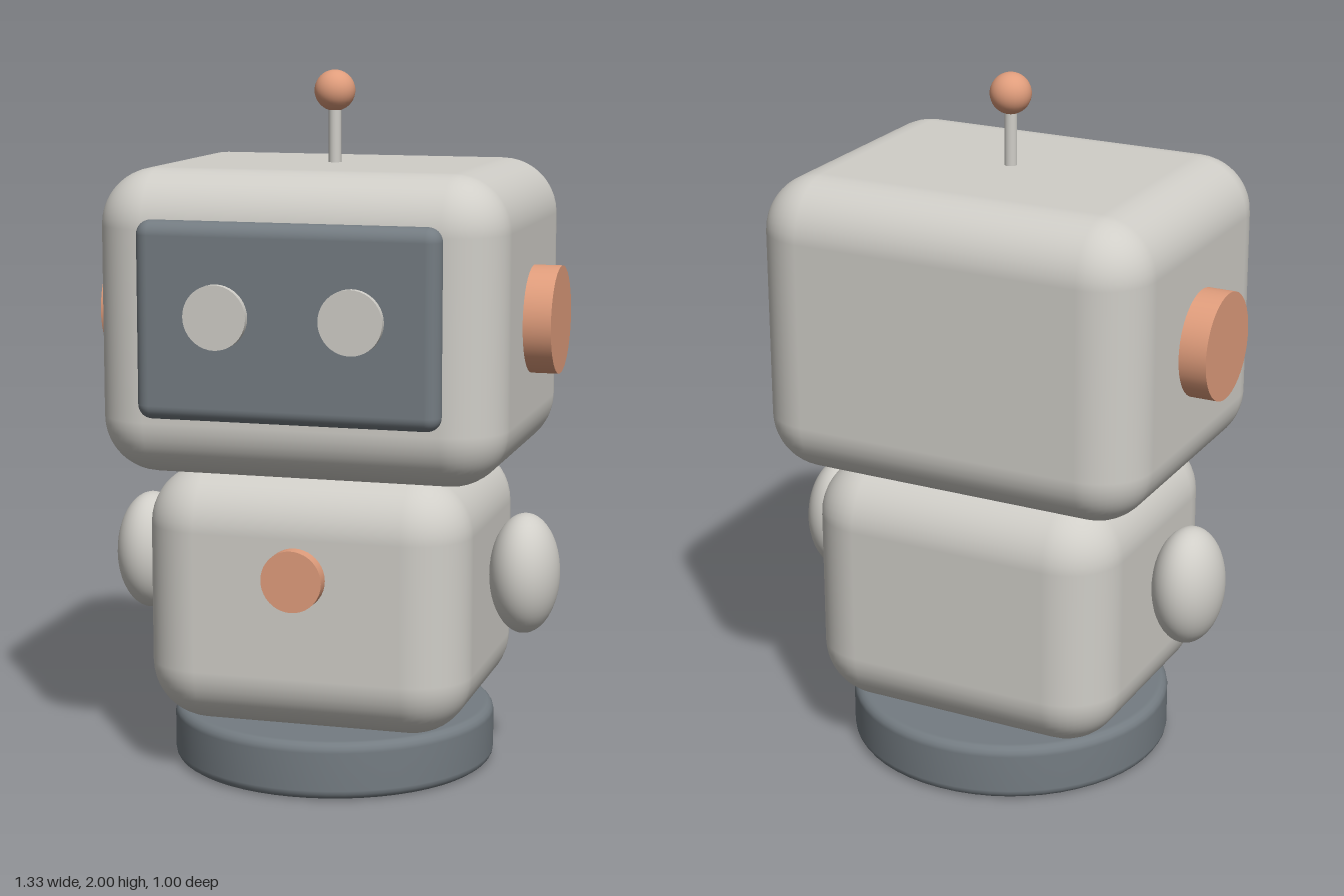
import * as THREE from 'three';
import { RoundedBoxGeometry } from 'three/addons/geometries/RoundedBoxGeometry.js';

const material = (name, color) => {
  const m = new THREE.MeshStandardMaterial({ color });
  m.name = name;
  return m;
};

export function createModel() {
  const shell = material('warm grey shell', 0xd0cec8);
  const dark = material('slate grey', 0x747c82);
  const copper = material('copper', 0xe09d7c);

  const robot = new THREE.Group();
  robot.name = 'robot';
  const Z = -0.03; // depth of the main axis

  const add = (name, geometry, mat, x, y, z) => {
    const mesh = new THREE.Mesh(geometry, mat);
    mesh.name = name;
    mesh.position.set(x, y, z);
    robot.add(mesh);
    return mesh;
  };
  const disc = (r, depth) => new THREE.CylinderGeometry(r, r, depth, 40);

  // Round base with softened rims
  const R = 0.468, H = 0.165, b = 0.028;
  const profile = [new THREE.Vector2(0, 0)];
  for (let i = 0; i <= 4; i++) {
    const a = -Math.PI / 2 + (i / 4) * Math.PI / 2;
    profile.push(new THREE.Vector2(R - b + b * Math.cos(a), b + b * Math.sin(a)));
  }
  for (let i = 0; i <= 4; i++) {
    const a = (i / 4) * Math.PI / 2;
    profile.push(new THREE.Vector2(R - b + b * Math.cos(a), H - b + b * Math.sin(a)));
  }
  profile.push(new THREE.Vector2(0, H));
  add('base', new THREE.LatheGeometry(profile, 56), dark, 0, 0, Z);

  // Body and head
  add('body', new RoundedBoxGeometry(0.936, 0.74, 0.82, 6, 0.17), shell, 0, 0.527, Z);
  add('head', new RoundedBoxGeometry(1.16, 0.855, 0.936, 6, 0.16), shell, 0, 1.312, Z);

  // Face screen and chest button
  add('screen', new RoundedBoxGeometry(0.856, 0.548, 0.1, 5, 0.04), dark, 0, 1.335, 0.43);
  add('chestButton', disc(0.087, 0.06), copper, 0, 0.617, 0.39).rotation.x = Math.PI / 2;

  // Mirrored parts
  for (const [side, s] of [['left', 1], ['right', -1]]) {
    add(side + 'Eye', disc(0.089, 0.04), shell, s * 0.19, 1.354, 0.48).rotation.x = Math.PI / 2;
    add(side + 'Ear', disc(0.152, 0.12), copper, s * 0.599, 1.312, Z).rotation.z = -s * Math.PI / 2;
    const arm = add(side + 'Arm', new THREE.SphereGeometry(1, 36, 24), shell, s * 0.565, 0.577, Z);
    arm.scale.set(0.1, 0.174, 0.131);
  }

  // Antenna
  add('antennaRod', new THREE.CylinderGeometry(0.018, 0.018, 0.22, 20), shell, 0, 1.8, Z);
  add('antennaBall', new THREE.SphereGeometry(0.058, 28, 20), copper, 0, 1.942, Z);

  return robot;
}
